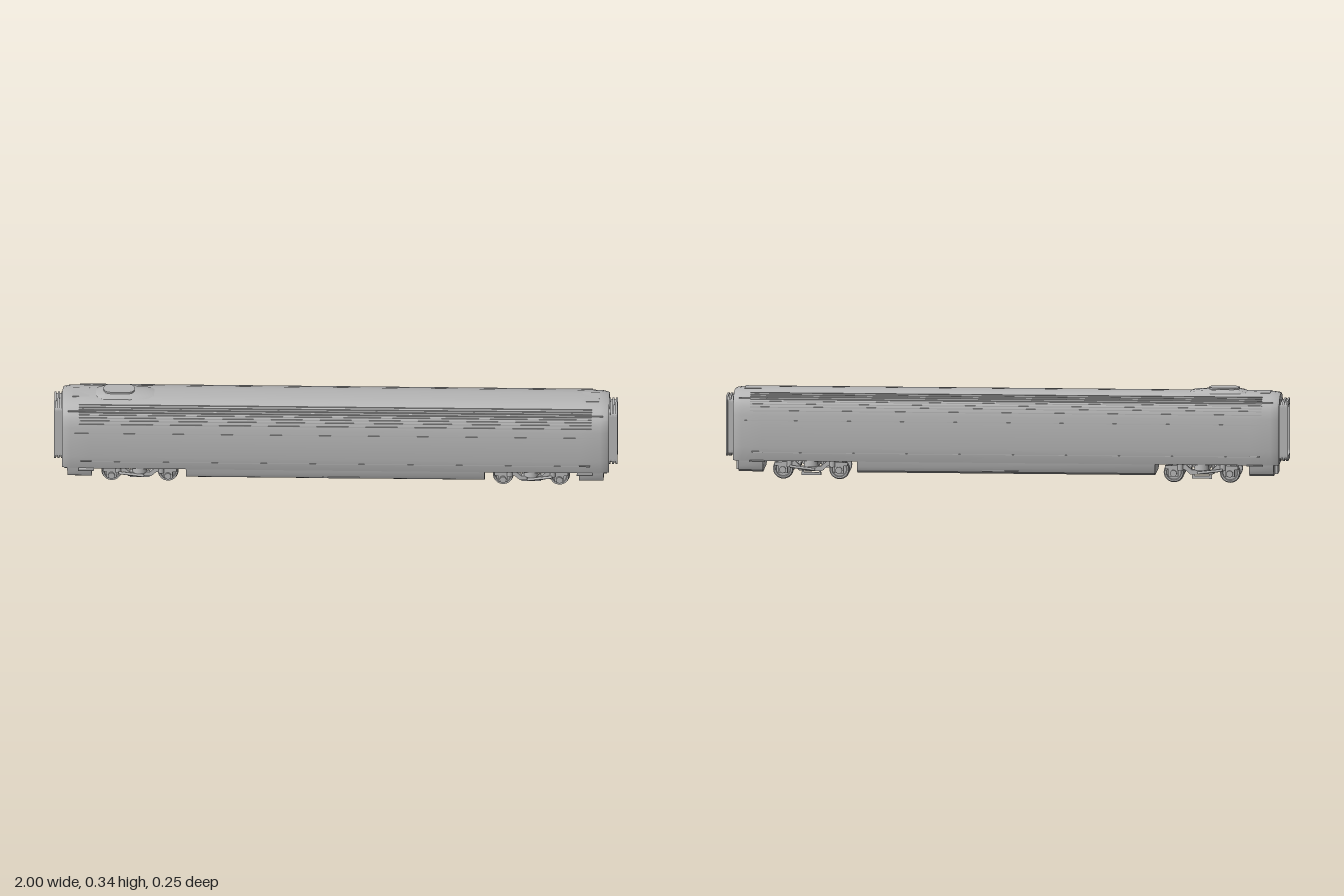
import * as THREE from 'three';
import { toCreasedNormals } from 'three/addons/utils/BufferGeometryUtils.js';

const grey = new THREE.MeshStandardMaterial({ color: 0xb6b6b6 });
grey.name = 'plain grey';

function add(parent, name, geo, x = 0, y = 0, z = 0) {
  const m = new THREE.Mesh(geo, grey);
  m.name = name;
  m.position.set(x, y, z);
  parent.add(m);
  return m;
}
const box = (parent, name, w, h, d, x, y, z) => add(parent, name, new THREE.BoxGeometry(w, h, d), x, y, z);
const rod = (parent, name, r, len, x, y, z, n = 16) =>
  add(parent, name, new THREE.CylinderGeometry(r, r, len, n).rotateX(Math.PI / 2), x, y, z);

// Mirror a half section of [z, y] points into a closed ring
const mirror = half => [...half, ...half.slice().reverse().filter(p => p[0] > 0).map(([z, y]) => [-z, y])];

// Skin equal-length rings placed along x: [[x, ring], ...], with end caps
function loft(sections) {
  const pos = [];
  const v = (s, j) => { const p = s[1][j % s[1].length]; return [s[0], p[1], p[0]]; };
  const tri = (a, b, c) => pos.push(...a, ...b, ...c);
  const n = sections[0][1].length;
  for (let i = 0; i < sections.length - 1; i++) {
    const a = sections[i], b = sections[i + 1];
    for (let j = 0; j < n; j++) {
      tri(v(a, j), v(b, j), v(b, j + 1));
      tri(v(a, j), v(b, j + 1), v(a, j + 1));
    }
  }
  const first = sections[0], last = sections[sections.length - 1];
  const mid = s => [s[0], s[1].reduce((t, p) => t + p[1], 0) / n, 0];
  for (let j = 0; j < n; j++) {
    tri(mid(first), v(first, j), v(first, j + 1));
    tri(mid(last), v(last, j + 1), v(last, j));
  }
  const g = new THREE.BufferGeometry();
  g.setAttribute('position', new THREE.Float32BufferAttribute(pos, 3));
  return toCreasedNormals(g, 0.5);
}

function roundRect(T, w, y0, y1, r) {
  const s = new T();
  s.moveTo(-w + r, y0);
  s.lineTo(w - r, y0); s.quadraticCurveTo(w, y0, w, y0 + r);
  s.lineTo(w, y1 - r); s.quadraticCurveTo(w, y1, w - r, y1);
  s.lineTo(-w + r, y1); s.quadraticCurveTo(-w, y1, -w, y1 - r);
  s.lineTo(-w, y0 + r); s.quadraticCurveTo(-w, y0, -w + r, y0);
  return s;
}

// Gangway bellows, door and coupler, built for the +x end
function endWall() {
  const g = new THREE.Group();
  g.name = 'endWall';
  const rings = [[0.062, 0.052, 0.968, 0.975], [0.058, 0.050, 0.975, 0.981], [0.062, 0.052, 0.981, 0.988],
    [0.058, 0.050, 0.988, 0.993], [0.062, 0.047, 0.993, 1.0]];
  for (const [o, i, x0, x1] of rings) {
    const s = roundRect(THREE.Shape, o, 0.185 - o - 0.045, 0.185 + o + 0.045, 0.018);
    s.holes.push(roundRect(THREE.Path, i, 0.185 - i - 0.043, 0.185 + i + 0.043, 0.014));
    add(g, 'gangwayBellows', new THREE.ExtrudeGeometry(s, { depth: x1 - x0, bevelEnabled: false, curveSegments: 5 })
      .rotateY(Math.PI / 2), x0);
  }
  // Double door with raised window rails
  for (const s of [-1, 1]) {
    box(g, 'doorLeaf', 0.006, 0.165, 0.038, 0.972, 0.18, s * 0.0215);
    for (const y of [0.105, 0.16, 0.227, 0.263]) box(g, 'doorRail', 0.004, 0.004, 0.036, 0.976, y, s * 0.0215);
    for (const z of [0.006, 0.038]) box(g, 'doorStile', 0.004, 0.16, 0.003, 0.976, 0.184, s * z);
  }
  box(g, 'doorHandle', 0.006, 0.05, 0.005, 0.978, 0.19, 0.032);
  box(g, 'threshold', 0.022, 0.006, 0.09, 0.982, 0.093, 0);
  box(g, 'couplerHousing', 0.012, 0.046, 0.068, 0.957, 0.052, 0);
  return g;
}

function bogie() {
  const g = new THREE.Group();
  g.name = 'bogie';
  // Wheelsets: tread with inner flange, axle and brake discs
  const wheel = [[0.008, -0.008], [0.035, -0.008], [0.037, -0.006], [0.037, -0.004], [0.034, -0.002],
    [0.033, 0.008], [0.027, 0.008], [0.025, 0.004], [0.014, 0.004], [0.012, 0.009], [0, 0.009]]
    .map(p => new THREE.Vector2(...p));
  for (const x of [-0.1, 0.1]) {
    rod(g, 'axle', 0.008, 0.17, x, 0.037, 0);
    for (const s of [-1, 1]) {
      const w = add(g, 'wheel', toCreasedNormals(new THREE.LatheGeometry(wheel, 28).rotateX(Math.PI / 2), 0.5), x, 0.037, s * 0.064);
      if (s < 0) w.rotation.y = Math.PI;
      rod(g, 'brakeDisc', 0.024, 0.007, x, 0.037, s * 0.025, 20);
      box(g, 'axleBox', 0.034, 0.028, 0.02, x, 0.04, s * 0.086);
      rod(g, 'axleCover', 0.012, 0.008, x, 0.037, s * 0.099);
      add(g, 'axleSpring', new THREE.CylinderGeometry(0.012, 0.012, 0.024, 14), x + (x > 0 ? -0.024 : 0.024), 0.06, s * 0.09);
      box(g, 'brakeCaliper', 0.04, 0.014, 0.016, x * 0.6, 0.045, s * 0.025);
    }
  }
  // Dropped side frames
  const f = new THREE.Shape();
  [[-0.13, 0.052], [-0.06, 0.052], [-0.04, 0.034], [0.04, 0.034], [0.06, 0.052], [0.13, 0.052],
    [0.13, 0.064], [0.055, 0.068], [0.035, 0.05], [-0.035, 0.05], [-0.055, 0.068], [-0.13, 0.064]]
    .forEach((p, i) => (i ? f.lineTo(...p) : f.moveTo(...p)));
  for (const s of [-1, 1]) {
    add(g, 'sideFrame', new THREE.ExtrudeGeometry(f, { depth: 0.018, bevelEnabled: false }), 0, 0, s * 0.088 - 0.009);
    add(g, 'airSpring', new THREE.CylinderGeometry(0.024, 0.026, 0.026, 20), 0, 0.062, s * 0.084);
    const d = add(g, 'yawDamper', new THREE.CylinderGeometry(0.005, 0.005, 0.09, 10).rotateZ(Math.PI / 2), 0.03, 0.045, s * 0.104);
    d.rotation.z = 0.12;
    box(g, 'trackBrake', 0.07, 0.01, 0.012, 0, 0.02, s * 0.063);
    for (const x of [-0.03, 0.03]) box(g, 'brakeHanger', 0.007, 0.025, 0.008, x, 0.034, s * 0.066);
  }
  box(g, 'bolster', 0.05, 0.022, 0.17, 0, 0.052, 0);
  for (const x of [-0.045, 0.045]) rod(g, 'crossTube', 0.007, 0.17, x, 0.05, 0, 10);
  return g;
}

export function createModel() {
  const model = new THREE.Group();
  model.name = 'railwayCoach';

  // Body shell, narrowing toward each end
  const half = [[0.109, 0.07], [0.114, 0.09], [0.118, 0.12], [0.119, 0.18], [0.118, 0.235], [0.114, 0.262],
    [0.107, 0.281], [0.095, 0.297], [0.077, 0.309], [0.055, 0.317], [0.028, 0.32], [0, 0.321]];
  const ring = (k, d) => mirror(half.map(([z, y]) => [z * k, y > 0.2 ? y - d * (y - 0.2) : y]));
  add(model, 'bodyShell', loft([[-0.971, ring(0.91, 0.07)], [-0.963, ring(0.955, 0.04)], [-0.94, ring(0.985, 0.015)],
    [-0.87, ring(1, 0)], [0.87, ring(1, 0)], [0.94, ring(0.985, 0.015)], [0.963, ring(0.955, 0.04)], [0.971, ring(0.91, 0.07)]]));

  // Underfloor skirts between and beyond the bogies
  const skirt = (k = 1) => mirror([[0.088 * k, 0.029], [0.1 * k, 0.036], [0.106 * k, 0.05], [0.1095 * k, 0.075]]);
  add(model, 'centreSkirt', loft([[-0.53, skirt()], [0.53, skirt()]]));
  for (const s of [-1, 1]) {
    const ends = [[s * 0.865, skirt()], [s * 0.952, skirt(0.97)]];
    add(model, 'endSkirt', loft(s > 0 ? ends : ends.reverse()));
    box(model, 'skirtFlap', 0.13, 0.004, 0.004, 0.02, 0.04, s * 0.104);
  }

  // Roof ribs and body side seams
  for (const s of [-1, 1]) {
    for (const [z, y] of [[0.1165, 0.25], [0.1138, 0.263], [0.1103, 0.273], [0.1065, 0.282], [0.1005, 0.29], [0.0945, 0.2975],
      [0.086, 0.3035], [0.077, 0.309]]) box(model, 'roofRib', 1.82, 0.003, 0.003, 0, y, s * z);
    box(model, 'sideSeam', 1.86, 0.002, 0.0015, 0, 0.215, s * 0.1185);
    box(model, 'sideSeam', 1.8, 0.002, 0.0015, 0, 0.1, s * 0.1152);
    for (const e of [-1, 1]) {
      box(model, 'doorSill', 0.055, 0.004, 0.018, e * 0.885, 0.07, s * 0.116);
      box(model, 'doorStep', 0.04, 0.004, 0.008, e * 0.885, 0.103, s * 0.117);
      box(model, 'doorHeader', 0.1, 0.003, 0.004, e * 0.9, 0.293, s * 0.0975);
    }
  }

  // Rooftop air conditioning fairing
  const hump = (w, h) => mirror([[w, 0.31], [w * 0.92, 0.313 + h * 0.55], [w * 0.65, 0.318 + h * 0.9], [0, 0.319 + h]]);
  add(model, 'roofFairing', loft([[-0.855, hump(0.035, 0.001)], [-0.845, hump(0.047, 0.006)], [-0.82, hump(0.056, 0.011)],
    [-0.73, hump(0.056, 0.011)], [-0.67, hump(0.053, 0.007)], [-0.64, hump(0.04, 0.001)]]));
  add(model, 'fairingPad', new THREE.ExtrudeGeometry(roundRect(THREE.Shape, 0.055, -0.032, 0.032, 0.03),
    { depth: 0.006, bevelEnabled: false }).rotateX(-Math.PI / 2), -0.77, 0.3295, 0);
  for (const s of [-1, 1]) box(model, 'roofHatch', 0.06, 0.006, 0.07, s * 0.905, 0.317, 0);

  // Ends and bogies, turned round for the -x end
  for (const s of [1, -1]) {
    const end = endWall();
    const truck = bogie();
    if (s < 0) end.rotation.y = truck.rotation.y = Math.PI;
    truck.position.x = s * 0.695;
    model.add(end, truck);
  }
  return model;
}
